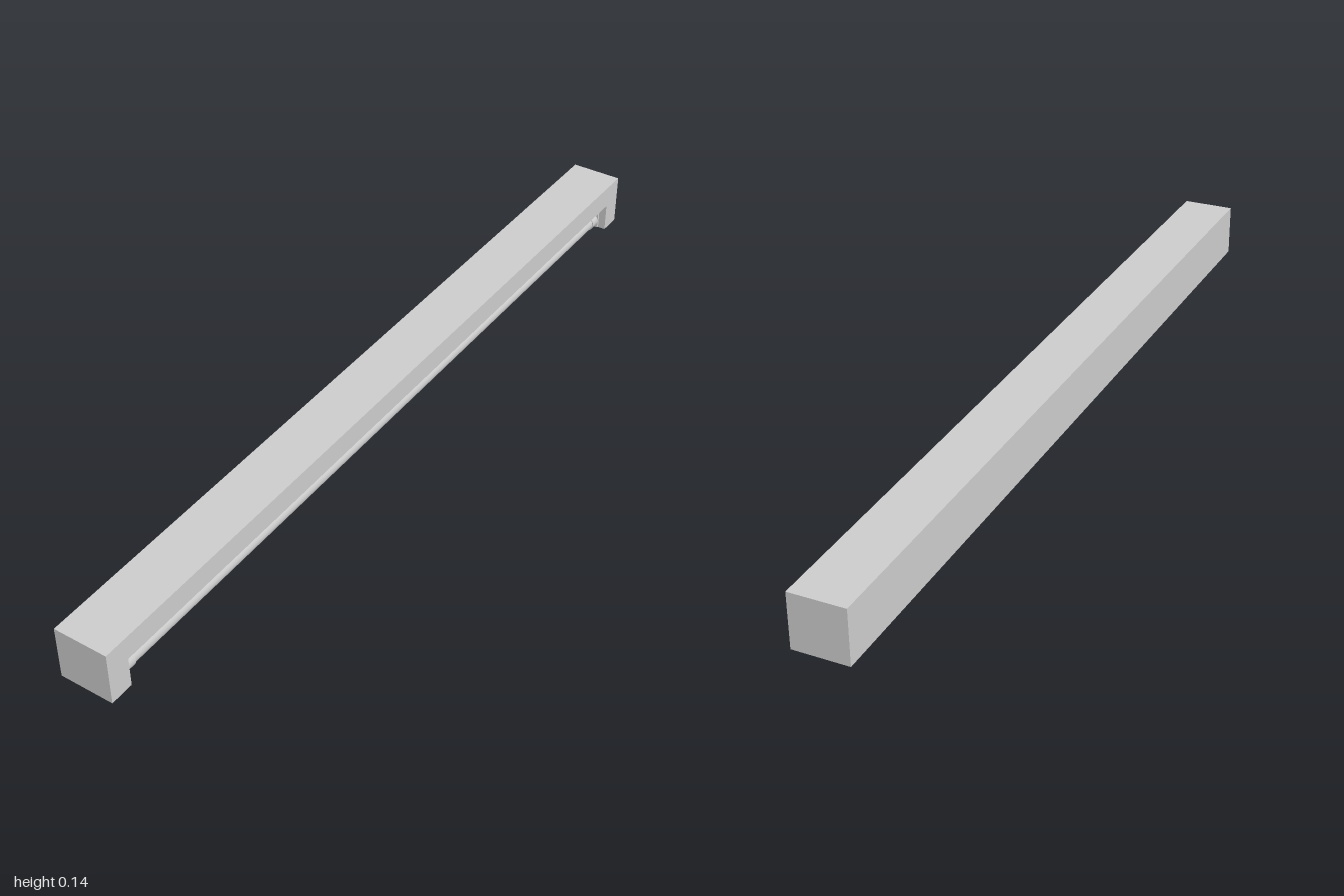
import * as THREE from 'three';

export function createModel() {
  const model = new THREE.Group();
  const material = new THREE.MeshStandardMaterial({ color: 0xcccccc });

  function add(parent, geometry, name, x = 0, y = 0, z = 0) {
    const mesh = new THREE.Mesh(geometry, material);
    mesh.name = name;
    mesh.position.set(x, y, z);
    parent.add(mesh);
    return mesh;
  }

  function polygon(points) {
    return new THREE.Shape(points.map(([x, y]) => new THREE.Vector2(x, y)));
  }

  const half = 0.0625, bottom = 0.01, top = 0.135;
  const wallX = -0.005, ceiling = 0.08, recessEnd = 0.945;

  // Housing: L-shaped section along the recess, solid block at each end
  const housing = new THREE.Group();
  housing.name = 'housing';
  model.add(housing);
  const section = polygon([
    [-half, bottom], [wallX, bottom], [wallX, ceiling],
    [half, ceiling], [half, top], [-half, top],
  ]);
  const body = new THREE.ExtrudeGeometry(section, { depth: 2 * recessEnd, bevelEnabled: false });
  add(housing, body, 'housingBody', 0, 0, -recessEnd);
  for (const side of [-1, 1]) {
    add(housing, new THREE.BoxGeometry(2 * half, top - bottom, 1 - recessEnd),
      'endBlock', 0, (top + bottom) / 2, side * (1 + recessEnd) / 2);
  }

  // Lamp tube with a cap, rounded shoulder and contact pins at each end
  const lamp = new THREE.Group();
  lamp.name = 'lamp';
  lamp.position.set(0.026, 0.034, 0);
  model.add(lamp);
  const tube = new THREE.CylinderGeometry(0.018, 0.018, 1.84, 24, 1, true).rotateX(Math.PI / 2);
  add(lamp, tube, 'lampTube');
  for (const side of [-1, 1]) {
    const cap = new THREE.CylinderGeometry(0.02, 0.02, 0.025, 24).rotateX(Math.PI / 2);
    add(lamp, cap, 'lampCap', 0, 0, side * 0.922);
    for (const px of [-0.007, 0.007]) {
      const pin = new THREE.CylinderGeometry(0.002, 0.002, 0.014, 8).rotateX(Math.PI / 2);
      add(lamp, pin, 'contactPin', px, 0, side * 0.939);
    }
    // Socket plate the pins plug into
    add(lamp, new THREE.BoxGeometry(0.036, 0.044, 0.006), 'socket', 0, 0, side * 0.942);
  }

  // Wedge-shaped rocker switch under the rear end block
  const wedge = polygon([[0.018, bottom], [0.047, 0], [0.047, bottom]]);
  add(model, new THREE.ExtrudeGeometry(wedge, { depth: 0.016, bevelEnabled: false }),
    'rockerSwitch', 0, 0, -0.986);

  return model;
}
